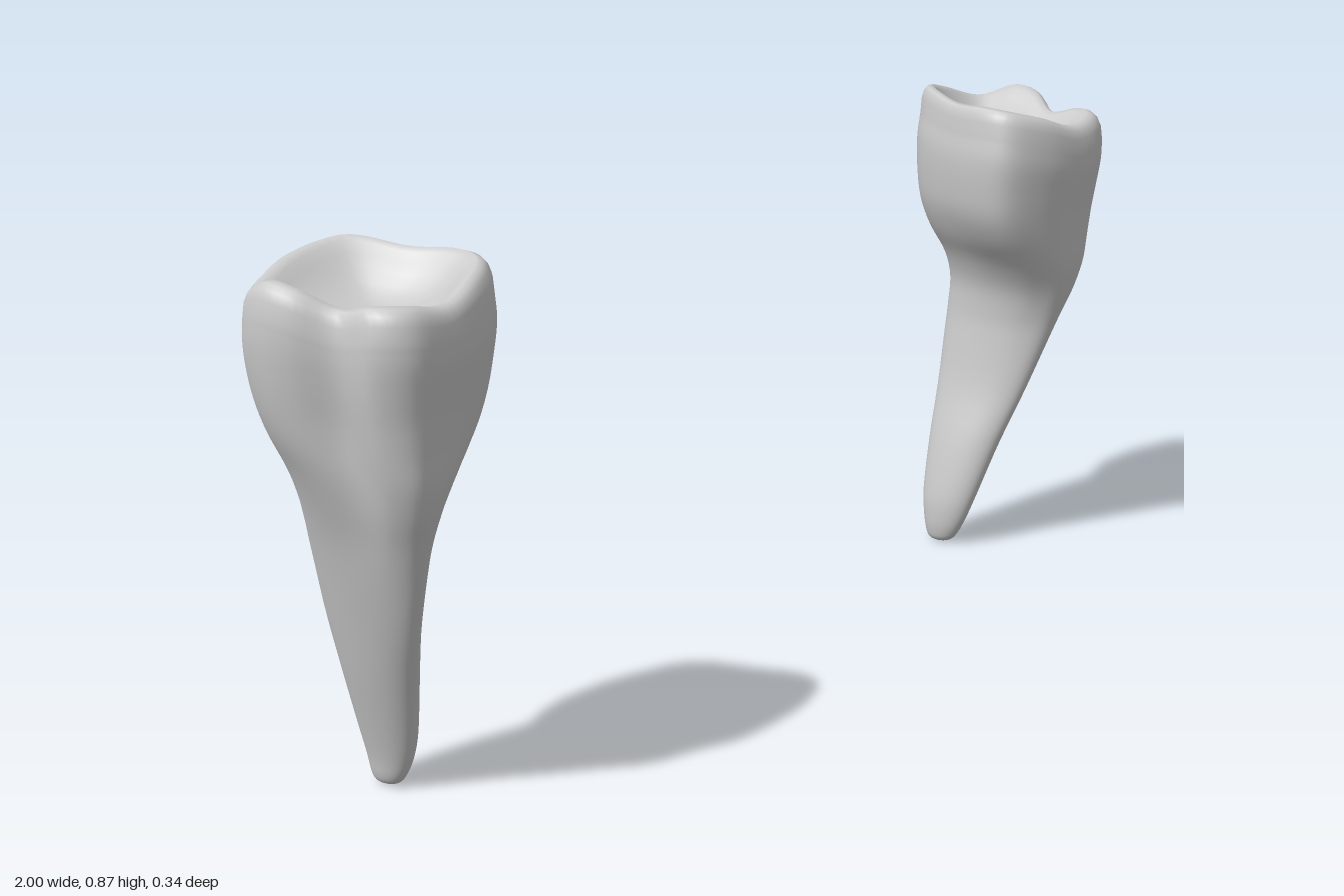
import * as THREE from 'three';
import { mergeVertices } from 'three/addons/utils/BufferGeometryUtils.js';

const SEG = 64, ROWS = 56;

// Crown outline seen from above, in units of its half width and half depth; y is the rim height
const rim = new THREE.CatmullRomCurve3([
  [0.75, 0.825, 0.68], [0.73, 0.812, 0.26], [0.96, 0.838, -0.1], [0.99, 0.846, -0.45],
  [0.74, 0.825, -0.84], [0.13, 0.85, -1], [-0.5, 0.868, -0.8], [-0.84, 0.854, -0.2],
  [-1, 0.857, 0.3], [-0.93, 0.852, 0.65], [-0.5, 0.835, 0.88], [0, 0.814, 0.97], [0.48, 0.824, 0.95],
].map(p => new THREE.Vector3(...p)), true, 'catmullrom', 0.5);

// Extents of the tooth by height: y, x min, x max, z min, z max
const levels = [
  [0, 0.757, 0.757, -0.07, -0.07], [0.006, 0.745, 0.771, -0.092, -0.048],
  [0.02, 0.739, 0.778, -0.1, -0.034], [0.05, 0.735, 0.785, -0.106, -0.018],
  [0.1, 0.737, 0.8, -0.113, 0], [0.2, 0.757, 0.832, -0.118, 0.03],
  [0.3, 0.785, 0.861, -0.121, 0.065], [0.4, 0.798, 0.89, -0.122, 0.1],
  [0.45, 0.798, 0.906, -0.121, 0.118], [0.5, 0.788, 0.925, -0.12, 0.137],
  [0.55, 0.76, 0.945, -0.129, 0.15], [0.6, 0.72, 0.965, -0.149, 0.154],
  [0.65, 0.692, 0.98, -0.163, 0.158], [0.7, 0.68, 0.991, -0.169, 0.164],
  [0.75, 0.675, 0.998, -0.17, 0.17], [0.79, 0.68, 0.999, -0.166, 0.17],
];
const track = (a, b) => new THREE.CatmullRomCurve3(
  levels.map(l => new THREE.Vector3(l[a], l[0], l[b])), false, 'catmullrom', 0.5);
const low = track(1, 3), high = track(2, 4);

// Biting surface, from the wall inwards: outline scale, drop below rim, share of basin floor
const cap = [
  [0.985, 0.025, 0], [0.955, 0.011, 0], [0.91, 0.003, 0], [0.85, 0, 0], [0.78, 0.005, 0.03],
  [0.7, 0.012, 0.15], [0.6, 0.012, 0.4], [0.48, 0.008, 0.65], [0.34, 0.003, 0.84],
  [0.18, 0, 0.95], [0, 0, 1],
];
const FLOOR = 0.775, PIT = { x: -0.17, z: -0.08 };

function toothGeometry(side) {
  const outline = Array.from({ length: SEG }, (_, j) => rim.getPoint(j / SEG));
  const pos = [], index = [];
  const { lerp, smoothstep } = THREE.MathUtils;
  const place = (a, b, x, y, z) => pos.push(
    side * lerp(a.x, b.x, (x + 1) / 2), y, lerp(a.z, b.z, (z + 1) / 2));

  // Root and crown wall: an ellipse that turns into the crown outline
  for (let i = 0; i <= ROWS; i++) {
    const a = low.getPoint(i / ROWS), b = high.getPoint(i / ROWS);
    const crown = smoothstep(a.y, 0.35, 0.64), lift = smoothstep(a.y, 0.6, 0.83);
    for (const p of outline) {
      const r = Math.hypot(p.x, p.z);
      place(a, b, lerp(p.x / r, p.x, crown), a.y + (p.y - 0.84) * lift, lerp(p.z / r, p.z, crown));
    }
  }
  // Rounded rim and basin
  const a = low.getPoint(1), b = high.getPoint(1);
  for (const [s, drop, sink] of cap) {
    for (const p of outline) {
      place(a, b, lerp(PIT.x, p.x, s), lerp(p.y - drop, FLOOR, sink), lerp(PIT.z, p.z, s));
    }
  }
  for (let i = 0; i < ROWS + cap.length; i++) {
    for (let j = 0; j < SEG; j++) {
      const k = (j + 1) % SEG, p = i * SEG + j, q = i * SEG + k;
      if (side > 0) index.push(p, q, q + SEG, p, q + SEG, p + SEG);
      else index.push(p, q + SEG, q, p, p + SEG, q + SEG);
    }
  }
  const geometry = new THREE.BufferGeometry();
  geometry.setAttribute('position', new THREE.Float32BufferAttribute(pos, 3));
  geometry.setIndex(index);
  const merged = mergeVertices(geometry, 1e-5);
  merged.computeVertexNormals();
  return merged;
}

export function createModel() {
  const group = new THREE.Group();
  group.name = 'teethPair';
  const material = new THREE.MeshStandardMaterial({ color: 0xcccccc });
  for (const [name, side] of [['leftTooth', 1], ['rightTooth', -1]]) {
    const tooth = new THREE.Mesh(toothGeometry(side), material);
    tooth.name = name;
    group.add(tooth);
  }
  return group;
}
